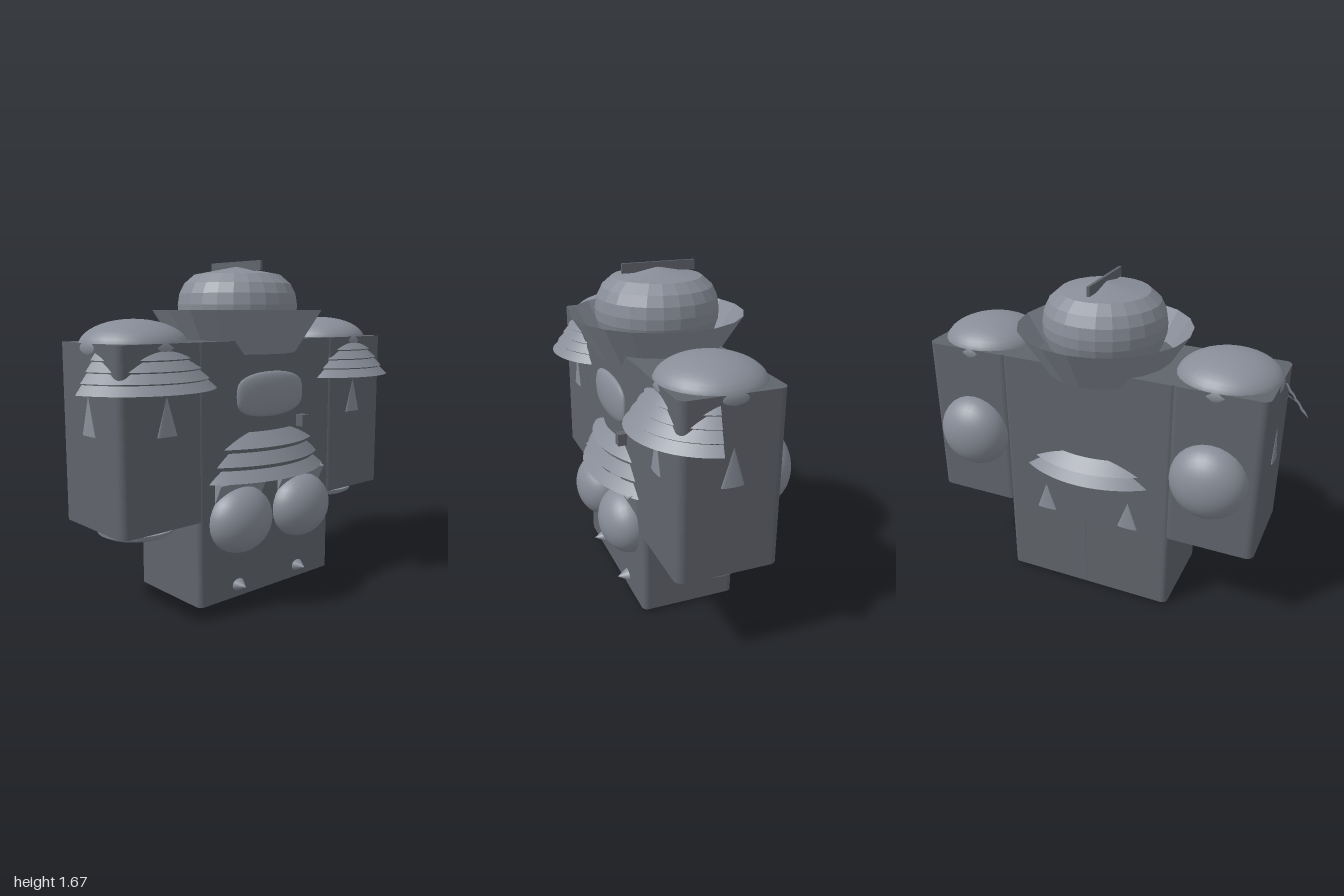
import * as THREE from 'three';

const dark = new THREE.MeshStandardMaterial({ color: 0x60646b, side: THREE.DoubleSide });
const light = new THREE.MeshStandardMaterial({ color: 0x888d98, side: THREE.DoubleSide });
const faceted = new THREE.MeshStandardMaterial({ color: 0x888d98, side: THREE.DoubleSide, flatShading: true });

export function createModel() {
  const model = new THREE.Group();

  const add = (name, geometry, x, y, z, material = light) => {
    const mesh = new THREE.Mesh(geometry, material);
    mesh.name = name;
    mesh.position.set(x, y, z);
    model.add(mesh);
    return mesh;
  };

  // upright block with rounded vertical edges, standing on y
  const block = (name, x, y, w, h, d, r) => {
    const a = w / 2 - r, b = d / 2 - r;
    const s = new THREE.Shape();
    s.absarc(a, b, r, 0, Math.PI / 2);
    s.absarc(-a, b, r, Math.PI / 2, Math.PI);
    s.absarc(-a, -b, r, Math.PI, Math.PI * 1.5);
    s.absarc(a, -b, r, Math.PI * 1.5, Math.PI * 2);
    const g = new THREE.ExtrudeGeometry(s, { depth: h, bevelEnabled: false, curveSegments: 5 });
    g.rotateX(-Math.PI / 2);
    return add(name, g, x, y, 0, dark);
  };

  // ellipsoid with its poles on y, or on z when facing forward
  const ellipsoid = (name, x, y, z, rx, ry, rz, forward) => {
    const g = new THREE.SphereGeometry(1, 28, 20);
    if (forward) g.rotateX(Math.PI / 2);
    g.scale(rx, ry, rz);
    return add(name, g, x, y, z);
  };

  // thin arc of a flaring cone; angle is measured from +z
  const plate = (name, x, y, z, rBottom, rTop, h, middle, half) =>
    add(name, new THREE.CylinderGeometry(rTop, rBottom, h, 24, 1, true, middle - half, 2 * half), x, y + h / 2, z);

  // flattened spike lying against a wall that faces the given angle
  const spike = (name, x, y, z, h, angle) => {
    const g = new THREE.ConeGeometry(0.055, h, 16);
    g.scale(1, 1, 0.15);
    g.rotateY(angle);
    return add(name, g, x, y + h / 2, z);
  };

  // body
  block('torso', 0, 0.44, 0.91, 0.84, 0.49, 0.03);
  add('chestButton', new THREE.BoxGeometry(0.045, 0.06, 0.06), 0.213, 0.862, 0.26, dark);

  // chest badge: ellipsoid with its ends squared off
  const badge = new THREE.SphereGeometry(1, 32, 20);
  const p = badge.attributes.position;
  for (let i = 0; i < p.count; i++) {
    const x = p.getX(i);
    p.setY(i, p.getY(i) / Math.pow(Math.max(1 - x * x, 0.03), 0.22));
  }
  badge.scale(0.225, 0.112, 0.035);
  badge.computeVertexNormals();
  add('chestBadge', badge, 0, 1.015, 0.25);

  // layered waist plates, front and back
  [[0.61, 0.635, 0.59, 0.055], [0.685, 0.605, 0.565, 0.06], [0.765, 0.58, 0.515, 0.07]].forEach(([y, rb, rt, h]) =>
    plate('frontWaistPlate', 0, y, -0.25, rb, rt, h, 0, 0.67));
  [[0.695, 0.595, 0.555, 0.055], [0.755, 0.57, 0.51, 0.06]].forEach(([y, rb, rt, h]) =>
    plate('backWaistPlate', 0, y, 0.25, rb, rt, h, Math.PI, 0.62));

  for (const s of [1, -1]) {
    // legs, meeting in a fine seam
    block('leg', s * 0.2165, 0.015, 0.477, 0.425, 0.49, 0.03);
    ellipsoid('kneeDome', s * 0.21, 0.415, 0.25, 0.185, 0.168, 0.137, true);
    const panel = add('thighPanel', new THREE.BoxGeometry(0.3, 0.11, 0.04), s * 0.21, 0.565, 0.25);
    panel.rotation.x = 0.45;
    const toe = new THREE.ConeGeometry(0.042, 0.06, 20);
    toe.rotateX(Math.PI / 2);
    toe.scale(1, 0.8, 1);
    add('toeStud', toe, s * 0.21, 0.075, 0.27);
    const sole = new THREE.ConeGeometry(0.05, 0.12, 16);
    sole.rotateX(Math.PI / 2);
    sole.scale(1, 0.3, 1);
    add('soleSpike', sole, s * 0.21, 0.015, 0.09);
    spike('backSpike', s * 0.23, 0.44, -0.246, 0.15, 0);

    // arms
    block('arm', s * 0.6525, 0.44, 0.455, 0.84, 0.496, 0.04);
    ellipsoid('shoulderDome', s * 0.635, 1.26, 0, 0.253, 0.125, 0.253);
    ellipsoid('elbowDome', s * 0.635, 0.83, -0.25, 0.19, 0.19, 0.14, true);
    spike('armFrontSpike', s * 0.635, 0.87, 0.249, 0.18, 0);
    spike('armSideSpike', s * 0.881, 0.87, 0, 0.18, Math.PI / 2);
    for (let i = 0; i < 4; i++) {
      const r = 0.38 - 0.032 * i;
      plate('shoulderPlate', s * 0.635, 1.07 + 0.047 * i, 0, r, r - 0.04, 0.041, 0, 1.3);
    }

    // lens-shaped hand hanging just below the arm
    const hand = [[0, 0.36], [0.09, 0.363], [0.16, 0.378], [0.185, 0.392], [0.19, 0.41], [0, 0.41]];
    add('hand', new THREE.LatheGeometry(hand.map(q => new THREE.Vector2(...q)), 32), s * 0.64, 0, 0, faceted);
  }

  // head, open collar brim and crest
  add('collarBrim', new THREE.CylinderGeometry(0.432, 0.3, 0.21, 20, 1, true), 0, 1.318, 0, faceted);
  const head = [[0.25, 1.26], [0.285, 1.34], [0.303, 1.4], [0.306, 1.45], [0.297, 1.505], [0.272, 1.555],
    [0.22, 1.6], [0, 1.642]];
  add('head', new THREE.LatheGeometry(head.map(q => new THREE.Vector2(...q)), 24), 0, 0, 0, faceted);
  add('crest', new THREE.BoxGeometry(0.015, 0.047, 0.375), 0, 1.642, -0.008, dark);

  return model;
}
